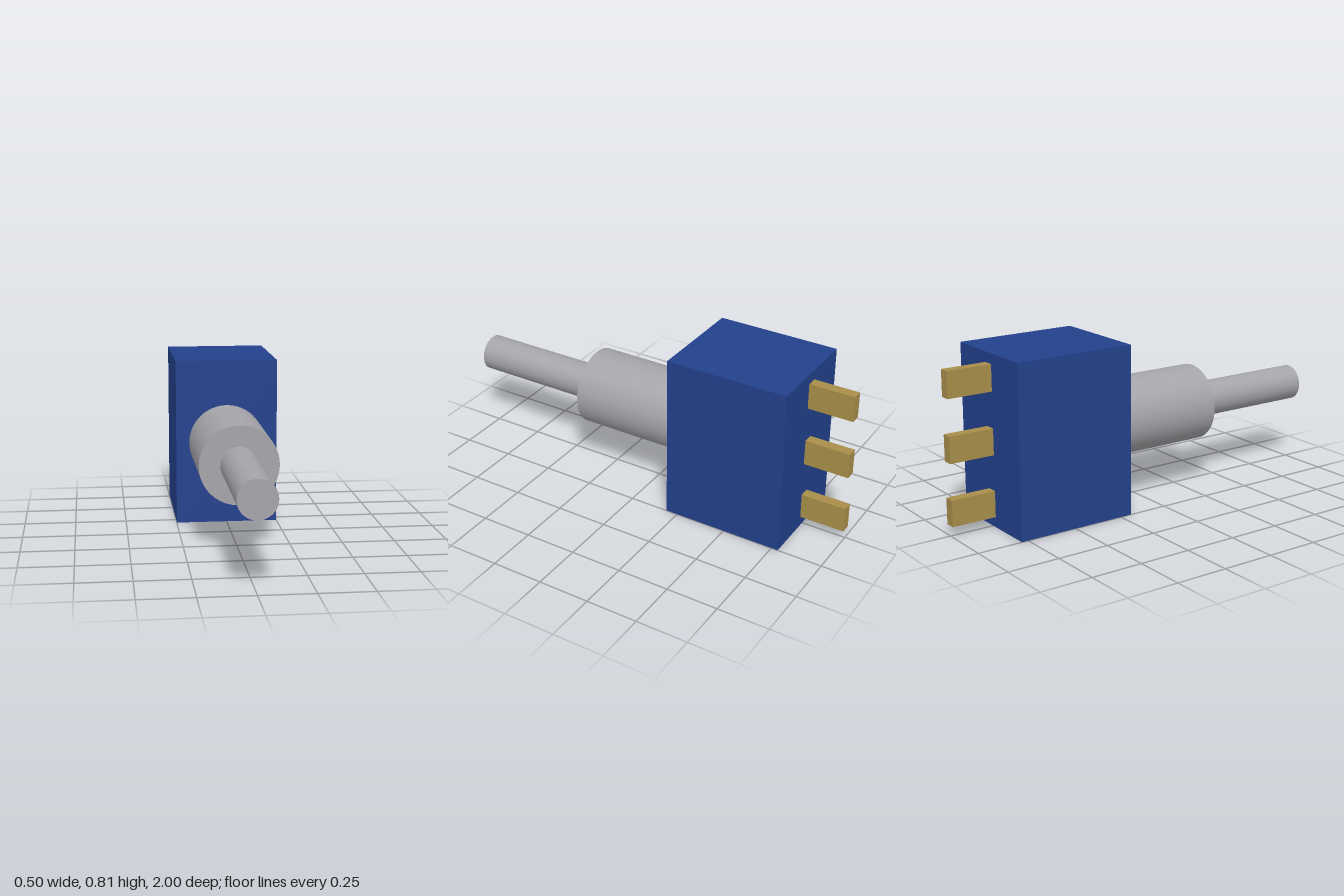
import * as THREE from 'three';

const CENTER_Y = 0.404;

export function createModel() {
  const group = new THREE.Group();
  group.name = 'toggleSwitch';

  const material = (name, color) => {
    const m = new THREE.MeshStandardMaterial({ color });
    m.name = name;
    return m;
  };
  const blue = material('blue housing', 0x23418c);
  const steel = material('grey metal', 0xa5a4a9);
  const brass = material('brass', 0xa88e4a);

  const add = (name, geometry, mat, y, z) => {
    const mesh = new THREE.Mesh(geometry, mat);
    mesh.name = name;
    mesh.position.set(0, y, z);
    group.add(mesh);
  };
  // Box centred on x, spanning z0 to z1
  const block = (name, w, h, z0, z1, y, mat) =>
    add(name, new THREE.BoxGeometry(w, h, z1 - z0), mat, y, (z0 + z1) / 2);
  // Round bar along z, spanning z0 to z1
  const bar = (name, radius, z0, z1, mat) =>
    add(name, new THREE.CylinderGeometry(radius, radius, z1 - z0, 48).rotateX(Math.PI / 2),
      mat, CENTER_Y, (z0 + z1) / 2);

  // Housing
  block('housing', 0.498, 0.808, -0.782, -0.192, CENTER_Y, blue);

  // Mounting bushing and lever
  bar('bushing', 0.185, -0.192, 0.354, steel);
  bar('lever', 0.087, 0.354, 1, steel);

  // Three solder terminals on the back
  ['lower', 'middle', 'upper'].forEach((label, i) => {
    block(`${label}Terminal`, 0.05, 0.124, -1, -0.782, CENTER_Y + (i - 1) * 0.293, brass);
  });

  return group;
}
